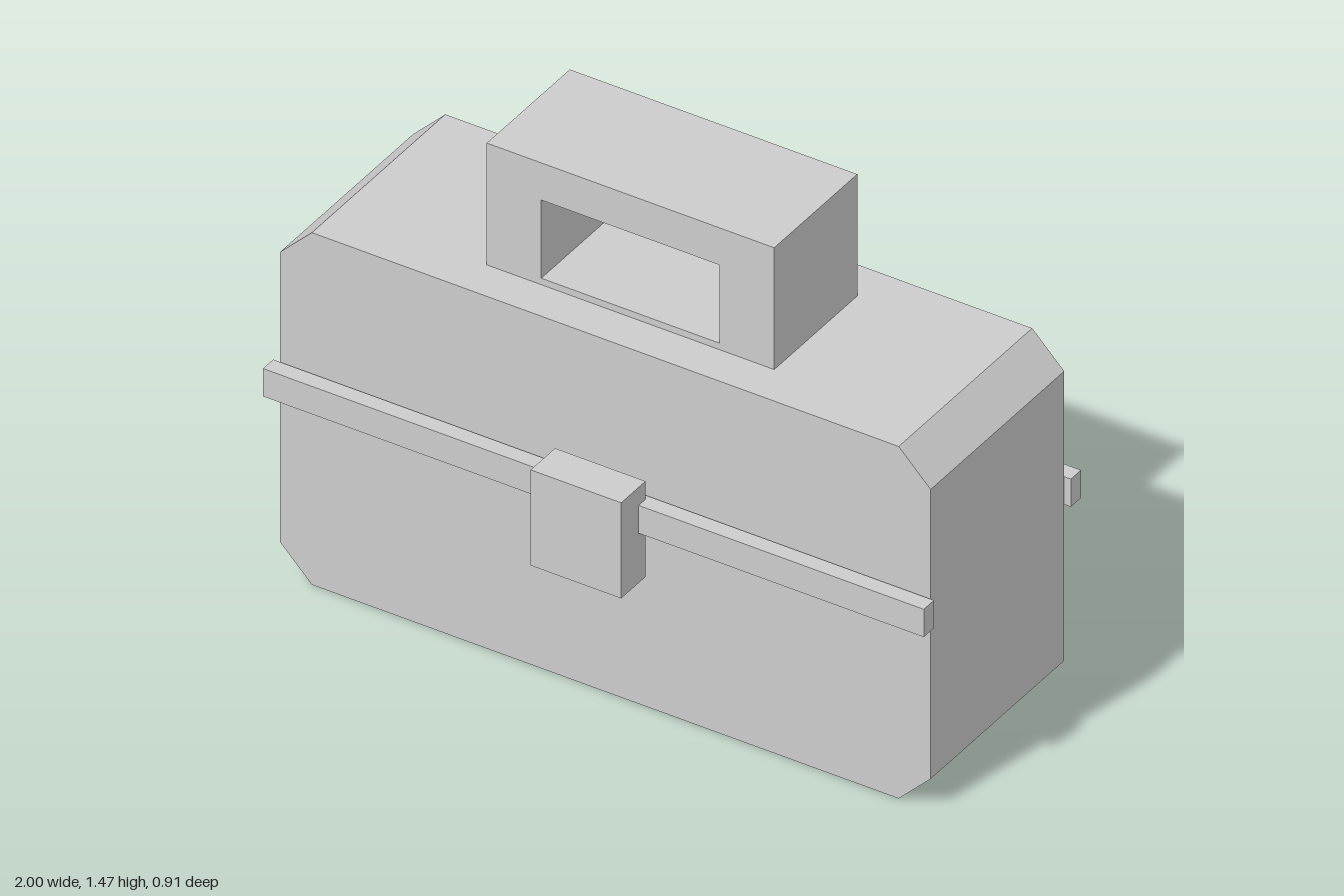
import * as THREE from 'three';

const rect = (Type, x0, y0, x1, y1) => {
  const s = new Type();
  s.moveTo(x0, y0);
  s.lineTo(x1, y0);
  s.lineTo(x1, y1);
  s.lineTo(x0, y1);
  s.closePath();
  return s;
};

export function createModel() {
  const model = new THREE.Group();
  model.name = 'toolCase';
  const grey = new THREE.MeshStandardMaterial({ color: 0xcccccc });
  grey.name = 'light grey';

  const add = (name, geometry, x = 0, y = 0, z = 0) => {
    const mesh = new THREE.Mesh(geometry, grey);
    mesh.name = name;
    mesh.position.set(x, y, z);
    model.add(mesh);
  };
  // Extrude a front outline, centred on z = 0
  const slab = (shape, depth) =>
    new THREE.ExtrudeGeometry(shape, { depth, bevelEnabled: false }).translate(0, 0, -depth / 2);

  // Case body with four chamfered corners
  const w = 0.985, h = 1.09, c = 0.097;
  const outline = new THREE.Shape([
    [-w + c, 0], [w - c, 0], [w, c], [w, h - c],
    [w - c, h], [-w + c, h], [-w, h - c], [-w, c],
  ].map(([x, y]) => new THREE.Vector2(x, y)));
  add('body', slab(outline, 0.63));

  // Handle frame, its lower bar sunk into the body
  const frame = rect(THREE.Shape, -0.435, 1.0, 0.435, 1.467);
  frame.holes.push(rect(THREE.Path, -0.27, 1.11, 0.27, 1.352));
  add('handle', slab(frame, 0.392));

  // Trim strip and latch on the front and back
  for (const [side, s] of [['front', 1], ['back', -1]]) {
    add(side + 'Strip', new THREE.BoxGeometry(2, 0.086, 0.048), 0, 0.617, s * 0.347);
    add(side + 'Latch', new THREE.BoxGeometry(0.274, 0.296, 0.115), 0, 0.568, s * 0.396);
  }
  return model;
}
